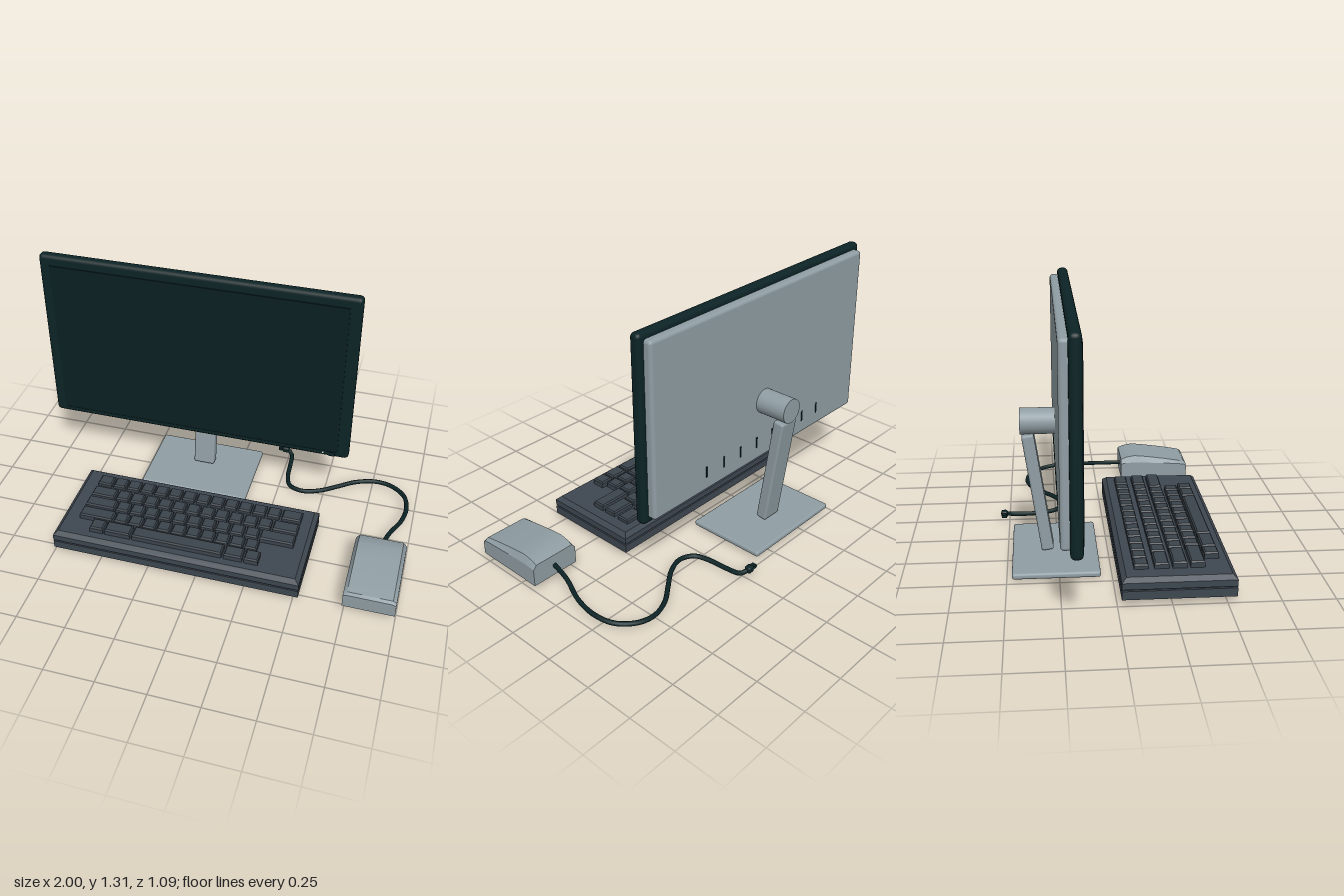
import * as THREE from 'three';
import { toCreasedNormals } from 'three/addons/utils/BufferGeometryUtils.js';
import { RoundedBoxGeometry } from 'three/addons/geometries/RoundedBoxGeometry.js';

const material = (name, color) => {
  const m = new THREE.MeshStandardMaterial({ color });
  m.name = name;
  return m;
};

// Capped skin over rings of [x, y, z] points; each ring runs counter-clockwise seen from the last ring's end
function loft(rings, crease = 0.5) {
  const pos = [];
  const tri = (a, b, c) => pos.push(...a, ...b, ...c);
  const n = rings[0].length;
  for (let r = 0; r < rings.length - 1; r++) {
    for (let i = 0; i < n; i++) {
      const j = (i + 1) % n, a = rings[r], b = rings[r + 1];
      tri(a[i], a[j], b[j]);
      tri(a[i], b[j], b[i]);
    }
  }
  const first = rings[0], last = rings[rings.length - 1];
  for (let i = 1; i < n - 1; i++) {
    tri(first[0], first[i + 1], first[i]);
    tri(last[0], last[i], last[i + 1]);
  }
  const g = new THREE.BufferGeometry();
  g.setAttribute('position', new THREE.Float32BufferAttribute(pos, 3));
  return toCreasedNormals(g, crease);
}

// Horizontal rectangle ring, inset by d
const rect = (x0, x1, z0, z1, y, d = 0) => [
  [x0 + d, y, z1 - d], [x1 - d, y, z1 - d], [x1 - d, y, z0 + d], [x0 + d, y, z0 + d],
];

export function createModel() {
  const black = material('dark casing', 0x0c2325);
  const screenMat = material('screen glass', 0x0b2022);
  const silver = material('silver plastic', 0x8f9da3);
  const grey = material('slate plastic', 0x3e4750);
  const keyMat = material('key plastic', 0x3b444c);
  const pad = material('rubber', 0x0a1516);
  const light = material('indicator light', 0xe8eeee);

  const model = new THREE.Group();
  model.name = 'desktopSet';
  const group = (name) => {
    const g = new THREE.Group();
    g.name = name;
    model.add(g);
    return g;
  };
  const add = (parent, name, geometry, mat, x = 0, y = 0, z = 0) => {
    const m = new THREE.Mesh(geometry, mat);
    m.name = name;
    m.position.set(x, y, z);
    parent.add(m);
    return m;
  };
  const rbox = (w, h, d, r) => new RoundedBoxGeometry(w, h, d, 3, r);
  const box = (w, h, d) => new THREE.BoxGeometry(w, h, d);

  // Monitor panel
  const monitor = group('monitor');
  const cx = -0.187;
  add(monitor, 'bezel', rbox(1.626, 0.96, 0.056, 0.022), black, cx, 0.83, -0.188);
  add(monitor, 'rearHousing', rbox(1.56, 0.9, 0.07, 0.018), silver, cx, 0.831, -0.222);
  add(monitor, 'screen', box(1.51, 0.865, 0.006), screenMat, cx, 0.823, -0.158);
  add(monitor, 'controlStrip', box(1.5, 0.02, 0.004), black, cx, 0.377, -0.159);
  add(monitor, 'powerButton', box(0.035, 0.024, 0.012), black, 0.54, 0.376, -0.158);
  add(monitor, 'indicator', box(0.008, 0.008, 0.004), light, 0.495, 0.378, -0.156);
  for (let i = 0; i < 8; i++) {
    add(monitor, 'ventSlot', box(0.009, 0.06, 0.006), black, -0.2 + (i - 3.5) * 0.125, 0.485, -0.257);
  }

  // Stand
  const stand = group('stand');
  add(stand, 'hinge', new THREE.CylinderGeometry(0.064, 0.064, 0.175, 32), silver, -0.19, 0.703, -0.338)
    .rotation.x = Math.PI / 2;
  add(stand, 'arm', rbox(0.115, 0.605, 0.06, 0.012), silver, -0.19, 0.347, -0.345).rotation.x = -0.147;
  add(stand, 'base', rbox(0.59, 0.03, 0.42, 0.012), silver, -0.19, 0.027, -0.265);
  add(stand, 'basePad', box(0.52, 0.014, 0.34), pad, -0.19, 0.007, -0.265);

  // Keyboard case: two slabs with a groove between, bevelled along the top
  const keyboard = group('keyboard');
  const R = (y, d) => rect(-0.747, 0.528, 0.02, 0.545, y, d);
  add(keyboard, 'caseBottom', loft([R(0.03, 0), R(0.072, 0)]), grey);
  add(keyboard, 'caseGroove', loft([R(0.07, 0.012), R(0.082, 0.012)]), grey);
  add(keyboard, 'caseTop', loft([R(0.08, 0), R(0.112, 0), R(0.132, 0.022)]), grey);

  // Keys: first key left edge, wide first key, count of plain keys, row end
  const key = (x0, x1, z0, z1, top) => add(keyboard, 'key', loft([
    rect(x0, x1, z0, z1, 0.128), rect(x0, x1, z0, z1, top - 0.008), rect(x0, x1, z0, z1, top, 0.006),
  ]), keyMat);
  const rows = [
    { z: 0.083, top: 0.156, start: -0.652, first: 0.075, plain: 12, end: 0.453 },
    { z: 0.177, top: 0.16, start: -0.652, first: 0.125, plain: 11, end: 0.453 },
    { z: 0.261, top: 0.163, start: -0.652, first: 0.155, plain: 10, end: 0.453 },
    { z: 0.343, top: 0.164, start: -0.652, first: 0.175, plain: 9, end: 0.284 },
  ];
  const pitch = 0.0765, gap = 0.011;
  for (const { z, top, start, first, plain, end } of rows) {
    let x = start;
    key(x, x + first, z, z + 0.067, top);
    x += first + gap;
    for (let i = 0; i < plain; i++, x += pitch) key(x, x + pitch - gap, z, z + 0.067, top);
    if (end - x > 0.03) key(x, end, z, z + 0.067, top);
  }
  for (const [a, b] of [[-0.567, -0.497], [-0.487, -0.353], [-0.342, 0.125], [0.137, 0.229], [0.24, 0.31]]) {
    key(a, b, 0.42, 0.488, 0.165);
  }

  // Mouse: cross-sections [z, shoulder height, top height] from back to front
  const mouse = group('mouse');
  const sections = [
    [0.15, 0.12, 0.143], [0.18, 0.126, 0.156], [0.23, 0.128, 0.165], [0.3, 0.125, 0.158],
    [0.4, 0.12, 0.144], [0.48, 0.115, 0.131], [0.525, 0.11, 0.121], [0.537, 0.1, 0.108],
  ];
  add(mouse, 'mouseBody', loft(sections.map(([z, s, t]) => [
    [0.742, 0.031, z], [0.998, 0.031, z], [0.998, s, z], [0.98, t, z], [0.76, t, z], [0.742, s, z],
  ]), 0.45), silver);

  // Cable and plug
  const path = new THREE.CatmullRomCurve3([
    [0.87, 0.085, 0.16], [0.895, 0.075, 0.04], [0.945, 0.055, -0.1], [0.958, 0.045, -0.22],
    [0.93, 0.036, -0.32], [0.85, 0.028, -0.39], [0.76, 0.023, -0.407], [0.66, 0.022, -0.375],
    [0.57, 0.024, -0.31], [0.48, 0.028, -0.245], [0.39, 0.03, -0.215], [0.315, 0.026, -0.245],
    [0.287, 0.022, -0.32], [0.278, 0.02, -0.42], [0.268, 0.028, -0.505], [0.24, 0.044, -0.527],
  ].map((p) => new THREE.Vector3(...p)));
  add(mouse, 'cable', new THREE.TubeGeometry(path, 80, 0.012, 8), black);
  add(mouse, 'plug', rbox(0.04, 0.036, 0.036, 0.012), black, 0.23, 0.045, -0.527);
  add(mouse, 'plugTip', box(0.022, 0.016, 0.026), black, 0.2, 0.045, -0.527);
  return model;
}
